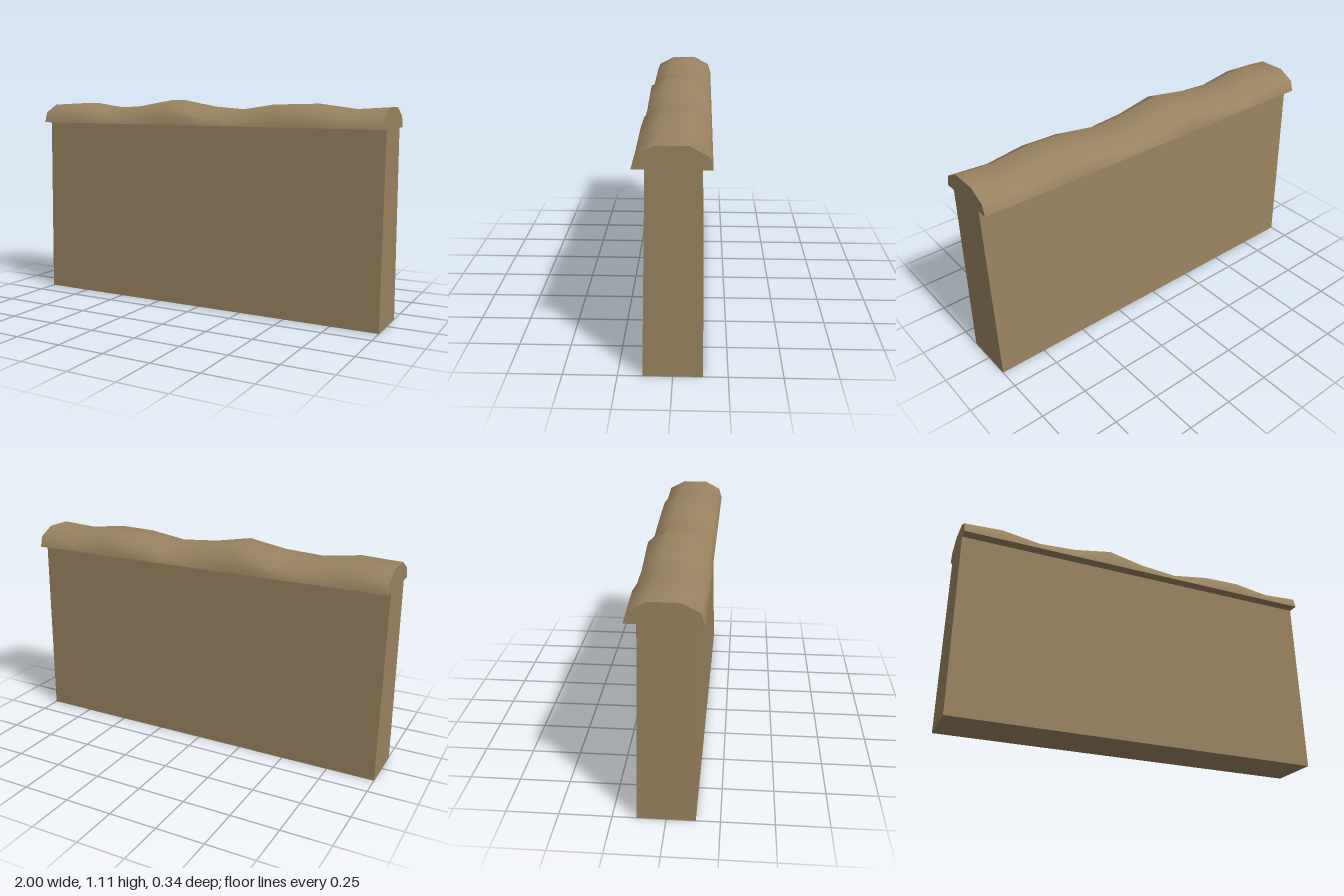
import * as THREE from 'three';

const CAP_BASE = 0.98;
// Height of the weathered ridge at even steps along the wall
const RIDGE = [1.08, 1.09, 1.064, 1.076, 1.11, 1.075, 1.06, 1.09, 1.095, 1.07, 1.082];

// Coping cross-section as [y, z] from the front lip over the ridge to the back lip
function capSection(top) {
  const shoulder = 0.15 + (top - 1.06) * 0.2;
  const half = [[CAP_BASE, 0.17], [top - 0.045, shoulder], [top, 0.07]];
  return [...half, ...half.slice().reverse().map(([y, z]) => [y, -z])];
}

function geometryFrom(positions, index) {
  const g = new THREE.BufferGeometry();
  g.setAttribute('position', new THREE.Float32BufferAttribute(positions, 3));
  g.setIndex(index);
  g.computeVertexNormals();
  return g;
}

export function createModel() {
  const group = new THREE.Group();
  const stone = new THREE.MeshStandardMaterial({ color: 0x9a8360 });
  stone.name = 'sandstone';
  const add = (name, geometry) => {
    const mesh = new THREE.Mesh(geometry, stone);
    mesh.name = name;
    group.add(mesh);
  };

  // Wall body, narrowing towards the top
  const body = new THREE.BoxGeometry(2, CAP_BASE, 1);
  body.translate(0, CAP_BASE / 2, 0);
  const p = body.attributes.position;
  for (let i = 0; i < p.count; i++) {
    p.setZ(i, Math.sign(p.getZ(i)) * (p.getY(i) > 0.5 ? 0.113 : 0.137));
  }
  body.computeVertexNormals();
  add('wallBody', body);

  // Coping surface, smooth and wavy along its length
  const positions = [], index = [];
  const sections = RIDGE.map(capSection);
  const n = sections[0].length;
  sections.forEach((section, i) => {
    const x = -1 + (2 * i) / (RIDGE.length - 1);
    section.forEach(([y, z]) => positions.push(x, y, z));
    if (i === RIDGE.length - 1) return;
    for (let j = 0; j < n - 1; j++) {
      const a = i * n + j, b = a + n;
      index.push(a, b, a + 1, b, b + 1, a + 1);
    }
  });
  add('copingTop', geometryFrom(positions, index));

  // Flat coping ends
  for (const side of [-1, 1]) {
    const section = sections[side < 0 ? 0 : sections.length - 1];
    const fan = [];
    for (let j = 1; j < n - 1; j++) {
      fan.push(...(side < 0 ? [0, j, j + 1] : [0, j + 1, j]));
    }
    add(side < 0 ? 'copingEndRight' : 'copingEndLeft',
      geometryFrom(section.flatMap(([y, z]) => [side, y, z]), fan));
  }

  // Underside of the coping overhang
  const under = new THREE.PlaneGeometry(2, 0.34);
  under.rotateX(Math.PI / 2);
  under.translate(0, CAP_BASE, 0);
  add('copingUnderside', under);

  return group;
}
